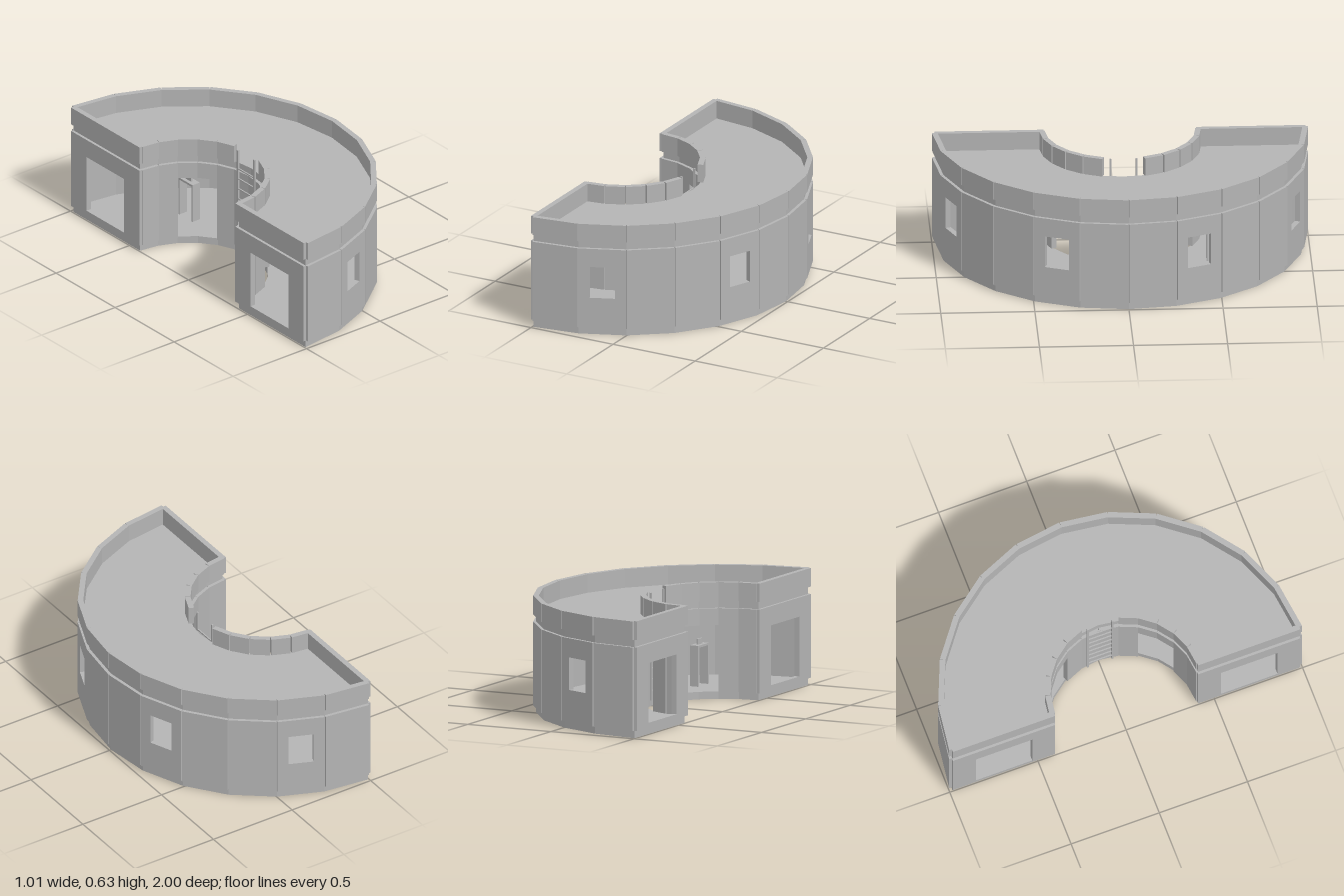
import * as THREE from 'three';

const CX = -0.493;             // centre of the half ring
const STEP = Math.PI / 12;     // 15 degree panels
const OUT = 1, INN = 0.4, THICK = 0.03, GAP = 0.005;

export function createModel() {
  const model = new THREE.Group();
  model.name = 'halfRingBuilding';
  const plaster = new THREE.MeshStandardMaterial({ color: 0xb4b4b4 });
  plaster.name = 'grey plaster';

  const add = (geometry, name, x, y, z, rotY = 0) => {
    const mesh = new THREE.Mesh(geometry, plaster);
    mesh.name = name;
    mesh.position.set(x, y, z);
    mesh.rotation.y = rotY;
    model.add(mesh);
    return mesh;
  };
  const box = (name, w, h, d, x, y, z) => add(new THREE.BoxGeometry(w, h, d), name, x, y, z);

  // Upright slab of width w between y0 and y1, with an optional opening
  const slab = (w, y0, y1, hole) => {
    const rect = (hw, a, b) => [[-hw, a], [hw, a], [hw, b], [-hw, b]].map(p => new THREE.Vector2(...p));
    const shape = new THREE.Shape(rect(w / 2, y0, y1));
    if (hole) shape.holes.push(new THREE.Path(rect(hole.w / 2, hole.y0, hole.y1)));
    return new THREE.ExtrudeGeometry(shape, { depth: THICK, bevelEnabled: false });
  };

  // Wall panel number i, counted from -90 degrees, on the outer or inner arc
  const panel = (name, r, i, y0, y1, hole) => {
    const a = (i - 5.5) * STEP;
    const w = 2 * r * Math.sin(STEP / 2) - (r === OUT ? GAP : 0);
    const start = r * Math.cos(STEP / 2) - (r === OUT ? THICK : 0);
    add(slab(w, y0, y1, hole), name, CX + start * Math.cos(a), 0, start * Math.sin(a), Math.PI / 2 - a);
  };

  // Half ring plate for the floor and roof
  const plate = (name, y0, y1) => {
    const pts = [];
    const arc = (r, i) => pts.push(new THREE.Vector2(CX + r * Math.cos((i - 6) * STEP), r * Math.sin((i - 6) * STEP)));
    for (let i = 0; i <= 12; i++) arc(0.983, i);
    for (let i = 12; i >= 0; i--) arc(0.418, i);
    const g = new THREE.ExtrudeGeometry(new THREE.Shape(pts), { depth: y1 - y0, bevelEnabled: false });
    g.rotateX(-Math.PI / 2);
    add(g, name, 0, y0, 0);
  };
  plate('floorSlab', 0, 0.04);
  plate('roofSlab', 0.49, 0.53);

  // Curved walls and parapets
  const windowHole = { w: 0.135, y0: 0.212, y1: 0.387 };
  for (let i = 0; i < 12; i++) {
    const hasWindow = [1, 4, 7, 10].includes(i);
    panel('outerWall', OUT, i, 0.04, 0.49, hasWindow && windowHole);
    panel('outerParapet', OUT, i, 0.53, 0.63);
    const isDoorway = [2, 3, 8, 9].includes(i);
    panel(isDoorway ? 'doorLintel' : 'innerWall', INN, i, isDoorway ? 0.4 : 0.04, 0.49);
    if (i !== 5 && i !== 6) panel('innerParapet', INN, i, 0.53, 0.63);
  }

  for (const s of [-1, 1]) {
    // Straight end walls with a large opening
    const doorHole = { w: 0.32, y0: 0.065, y1: 0.387 };
    add(slab(0.58, 0.04, 0.49, doorHole), 'endWall', -0.478, 0, s * 0.695, -Math.PI / 2);
    add(slab(0.58, 0.53, 0.63), 'endParapet', -0.478, 0, s * 0.695, -Math.PI / 2);

    // Small desk with a screen behind each doorway
    box('deskTop', 0.05, 0.012, 0.12, -0.095, 0.254, s * 0.5);
    for (const e of [-1, 1]) box('deskSide', 0.05, 0.208, 0.01, -0.095, 0.144, s * 0.5 + e * 0.055);
    box('deskScreen', 0.01, 0.03, 0.05, -0.095, 0.275, s * 0.5);

    // Ladder rails
    box('ladderRail', 0.01, 0.58, 0.01, -0.107, 0.33, s * 0.07);
  }

  // Ladder rungs up to the gap in the inner parapet
  for (let y = 0.09; y < 0.56; y += 0.06) box('ladderRung', 0.007, 0.007, 0.14, -0.107, y, 0);

  return model;
}
